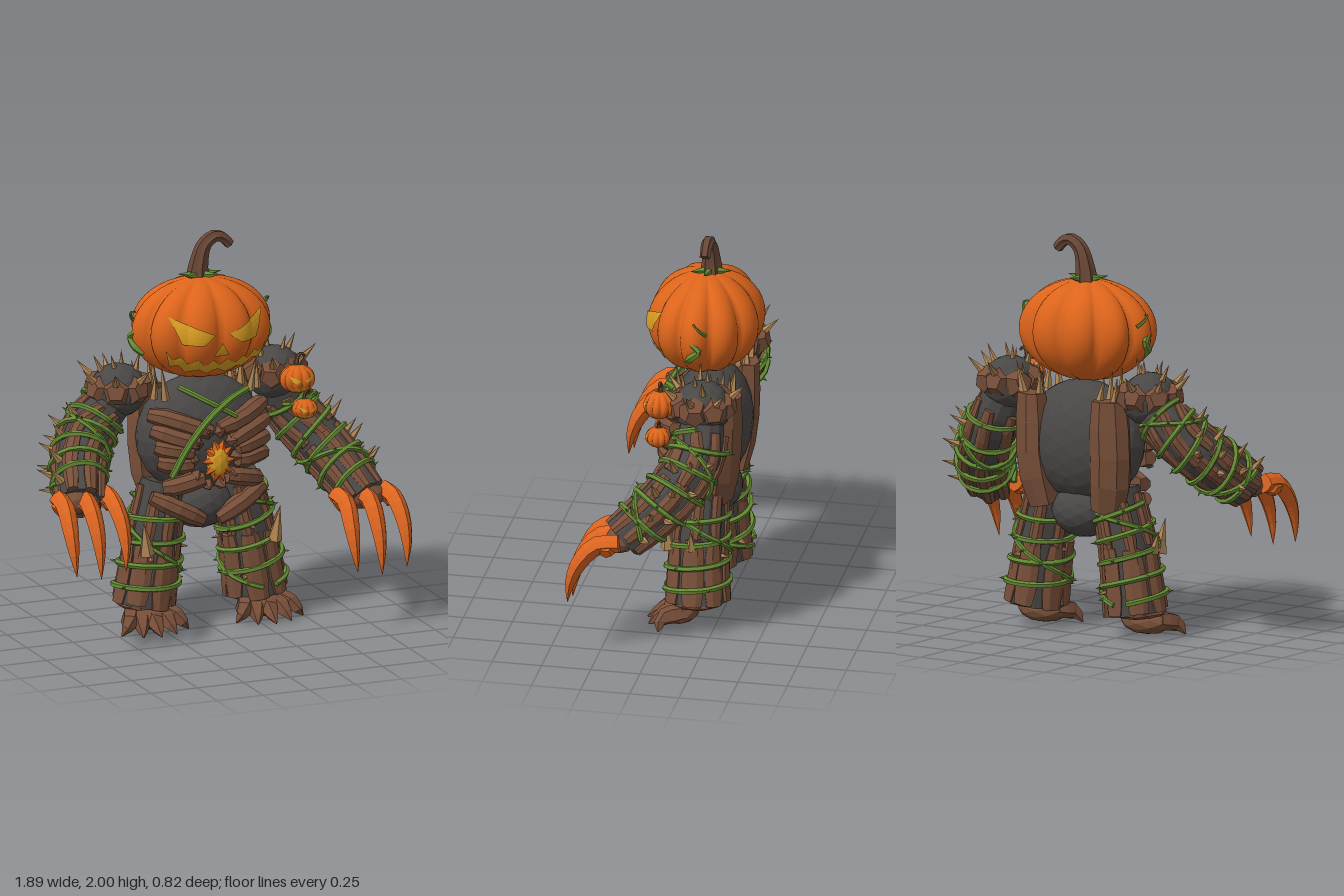
import * as THREE from 'three';

const V = (x, y, z) => new THREE.Vector3(x, y, z);
const mat = (name, color, flatShading = true) => {
  const m = new THREE.MeshStandardMaterial({ color, flatShading });
  m.name = name;
  return m;
};

// Closed skin over a list of equal-length rings (each turning right-handed about the travel direction)
function loft(rings) {
  const n = rings[0].length, pos = [], idx = [], last = (rings.length - 1) * n;
  rings.flat().forEach(p => pos.push(p.x, p.y, p.z));
  for (let i = 0; i < rings.length - 1; i++) for (let j = 0; j < n; j++) {
    const k = (j + 1) % n, a = i * n + j, b = i * n + k, c = b + n, d = a + n;
    idx.push(a, b, c, a, c, d);
  }
  for (let j = 1; j < n - 1; j++) idx.push(0, j + 1, j, last, last + j, last + j + 1);
  const g = new THREE.BufferGeometry();
  g.setAttribute('position', new THREE.Float32BufferAttribute(pos, 3));
  g.setIndex(idx);
  g.computeVertexNormals();
  return g;
}

// Tapered tube through points; radius is a function of 0..1
function sweep(points, radius, sides = 6, steps = 8, ridge = 0) {
  const curve = new THREE.CatmullRomCurve3(points), f = curve.computeFrenetFrames(steps), rings = [];
  for (let i = 0; i <= steps; i++) {
    const t = i / steps, c = curve.getPointAt(t), ring = [];
    for (let j = 0; j < sides; j++) {
      const a = j / sides * Math.PI * 2, r = radius(t) * (j % 2 ? 1 - ridge : 1);
      ring.push(c.clone().addScaledVector(f.normals[i], Math.cos(a) * r).addScaledVector(f.binormals[i], Math.sin(a) * r));
    }
    rings.push(ring);
  }
  return loft(rings);
}

// Bevelled board along points, its broad face turned to the given normal; half sizes taper at the ends
function board(points, normal, halfWidth, halfDepth, taper = 0.75) {
  const curve = new THREE.CatmullRomCurve3(points), rings = [];
  for (let i = 0; i <= 4; i++) {
    const c = curve.getPointAt(i / 4), T = curve.getTangentAt(i / 4), k = i % 4 ? 1 : taper;
    const N = normal.clone().addScaledVector(T, -normal.dot(T)).normalize(), B = T.clone().cross(N);
    rings.push([[1, -0.45], [1, 0.45], [0.3, 1], [-1, 0.9], [-1, -0.9], [0.3, -1]].map(([n, b]) =>
      c.clone().addScaledVector(N, n * halfDepth * k).addScaledVector(B, b * halfWidth * k)));
  }
  return loft(rings);
}

// Piecewise-linear lookup in [[x, y], ...]
function lerpAt(pts, x) {
  for (let i = 1; i < pts.length; i++) if (x <= pts[i][0]) {
    const [a, b] = [pts[i - 1], pts[i]];
    return a[1] + (b[1] - a[1]) * (x - a[0]) / (b[0] - a[0]);
  }
  return pts[pts.length - 1][1];
}

// Ten-lobed pumpkin surface, by angle and height; floor limits the depth of the grooves
const PH = 0.257;
function pumpkinPoint(a, y, k = 1, floor = 0) {
  const l = Math.max(floor, 0.85 + 0.15 * Math.abs(Math.sin(5 * a)) ** 0.75) * Math.sqrt(Math.max(0, 1 - (y / PH) ** 2)) * k;
  return V(0.37 * l * Math.sin(a), y, 0.29 * l * Math.cos(a));
}

export function createModel() {
  const root = new THREE.Group();
  let seed = 7;
  const rnd = (a = 0, b = 1) => a + (b - a) * ((seed = (seed * 16807) % 2147483647) / 2147483647);
  const orange = mat('pumpkinOrange', 0xdc641b, false), claw = mat('clawOrange', 0xdb6420), yellow = mat('glowYellow', 0xd99e22);
  const bark = mat('bark', 0x784f39), dark = mat('darkBody', 0x4a4846), green = mat('vineGreen', 0x648b33);
  const tan = mat('thornTan', 0xb08654), stemBrown = mat('stemBrown', 0x694736);
  yellow.side = THREE.DoubleSide;
  const add = (name, geo, m, parent = root) => {
    const mesh = new THREE.Mesh(geo, m);
    mesh.name = name;
    parent.add(mesh);
    return mesh;
  };
  const spike = (name, base, dir, len, r, m, parent = root) => {
    const mesh = add(name, new THREE.ConeGeometry(r, len, 5).translate(0, len * 0.45, 0), m, parent);
    mesh.position.copy(base);
    mesh.quaternion.setFromUnitVectors(V(0, 1, 0), dir.clone().normalize());
  };
  const ball = (name, m, c, s, detail = 3) => {
    const mesh = add(name, new THREE.IcosahedronGeometry(1, detail), m);
    mesh.position.copy(c);
    mesh.scale.copy(s);
  };

  // Carved pumpkin: shell, face plates that follow the lobes, stem
  function pumpkin(name, c, s) {
    const g = new THREE.Group();
    g.name = name;
    g.position.copy(c);
    g.scale.copy(s);
    root.add(g);
    const rings = [];
    for (let i = 0; i <= 20; i++) {
      const ring = [], y = -PH * Math.cos(0.05 + i / 20 * (Math.PI - 0.1));
      for (let j = 0; j < 100; j++) ring.push(pumpkinPoint(j / 100 * Math.PI * 2, y));
      rings.push(ring);
    }
    add('shell', loft(rings), orange, g);
    const plate = (label, top, bottom, mirror) => {
      const x0 = top[0][0], x1 = top[top.length - 1][0];
      const geo = new THREE.PlaneGeometry(1, 1, 64, 4), p = geo.attributes.position;
      for (let i = 0; i < p.count; i++) {
        const x = x0 + (x1 - x0) * (p.getX(i) + 0.5), v = p.getY(i) + 0.5;
        const y = lerpAt(bottom, x) * (1 - v) + lerpAt(top, x) * v;
        let lo = -1.1, hi = 1.1;
        for (let k = 0; k < 24; k++) {
          const mid = (lo + hi) / 2;
          if (pumpkinPoint(mid, y, 1.025, 0.95).x < x) lo = mid; else hi = mid;
        }
        const q = pumpkinPoint(lo, y, 1.025, 0.95);
        p.setXYZ(i, mirror ? -q.x : q.x, q.y, q.z);
      }
      geo.computeVertexNormals();
      add(label, geo, yellow, g);
    };
    for (const m of [false, true])
      plate(m ? 'leftEye' : 'rightEye', [[-0.25, 0.115], [-0.04, 0.025]], [[-0.25, 0.11], [-0.2, -0.02], [-0.1, -0.025], [-0.04, 0.02]], m);
    plate('nose', [[-0.04, -0.085], [0, -0.02], [0.04, -0.085]], [[-0.04, -0.09], [0.04, -0.09]]);
    const both = h => [...h, ...h.slice(0, -1).reverse().map(([x, y]) => [-x, y])];
    plate('mouth',
      both([[-0.27, -0.055], [-0.23, -0.11], [-0.2, -0.085], [-0.16, -0.13], [-0.12, -0.1], [-0.08, -0.14], [-0.04, -0.11], [0, -0.14]]),
      both([[-0.27, -0.06], [-0.24, -0.15], [-0.2, -0.14], [-0.15, -0.19], [-0.1, -0.165], [-0.05, -0.197], [0, -0.17]]));
    add('stem', sweep([V(-0.01, 0.22, -0.025), V(0, 0.32, -0.025), V(0.03, 0.41, -0.025), V(0.09, 0.448, -0.025), V(0.135, 0.43, -0.025), V(0.165, 0.395, -0.025)],
      t => 0.062 - 0.06 * t + 0.025 * t * t, 12, 14, 0.2), stemBrown, g);
    for (const a of [0.1, 0.9, 2.6, 3.2, 4.9])
      spike('stemLeaf', V(0.03 * Math.cos(a), 0.26, 0.03 * Math.sin(a) - 0.02), V(Math.cos(a), 0.12, Math.sin(a)), 0.09, 0.024, green, g);
  }
  pumpkin('head', V(0, 1.53, -0.135), V(1, 1, 1));
  pumpkin('shoulderPumpkin', V(0.46, 1.24, 0.01), V(0.25, 0.28, 0.28));
  pumpkin('armPumpkin', V(0.5, 1.08, 0.01), V(0.18, 0.2, 0.22));

  // Torso and pelvis
  ball('torso', dark, V(0, 0.97, -0.16), V(0.335, 0.31, 0.205));
  ball('pelvis', dark, V(0, 0.62, -0.16), V(0.17, 0.14, 0.16), 2);
  const chest = (x, y, off = 0) => V(x, y, -0.17 + off + 0.23 * Math.sqrt(Math.max(0.1, 1 - (x / 0.42) ** 2 - ((y - 0.89) / 0.42) ** 2)));

  for (const s of [-1, 1]) {
    // Ribs: outer x and height, inner x and height
    for (const [xo, yo, xi, yi] of [[0.31, 1.12, 0.02, 1.03], [0.31, 1.04, 0.09, 0.97], [0.3, 0.96, 0.12, 0.925], [0.29, 0.88, 0.12, 0.87], [0.26, 0.745, 0.06, 0.79]]) {
      const pts = [0, 0.33, 0.67, 1].map(t => chest(s * (xo + (xi - xo) * t), yo + (yi - yo) * t + rnd(-0.006, 0.006)));
      add('rib', board(pts, V(s * 0.4, 0, 1), 0.045, 0.04), bark);
    }
    add('hipPlank', board([V(s * 0.3, 0.69, -0.06), V(s * 0.17, 0.625, -0.01), V(s * 0.04, 0.555, -0.01)], V(0, 0, 1), 0.045, 0.04), bark);
    // Broad back slab topped with thorns
    add('backSlab', board([V(s * 0.2, 0.64, -0.25), V(s * 0.24, 0.85, -0.285), V(s * 0.24, 1.05, -0.295), V(s * 0.24, 1.21, -0.3)], V(s * 0.4, 0, -1), 0.1, 0.055, 0.85), bark);
    for (let i = 0; i < 5; i++)
      spike('collarThorn', V(s * (0.18 + 0.03 * i), 1.19, -0.3 + 0.05 * (i % 3)), V(s * rnd(-0.2, 0.25), 1, rnd(-0.25, 0.1)), rnd(0.14, 0.2), 0.026, tan);
    spike('collarThorn', V(s * 0.23, 1.2, -0.05), V(s * 0.15, 1, 0.1), 0.18, 0.024, tan);
    spike('collarThorn', V(s * 0.28, 1.2, -0.08), V(s * -0.05, 1, 0.1), 0.15, 0.022, tan);
    // Shoulder ball, its belt of boulders and thorns
    ball('shoulder', dark, V(s * 0.42, 1.225, -0.2), V(0.145, 0.138, 0.145), 2);
    for (let i = 0; i < 7; i++) {
      const a = i / 7 * Math.PI * 2 + 0.2, d = V(s * Math.cos(a), 0, Math.sin(a)), c = V(s * 0.42, 1.24, -0.2).addScaledVector(d, 0.1);
      const rock = add('shoulderBoulder', new THREE.DodecahedronGeometry(0.08, 0), bark);
      rock.position.copy(c);
      rock.rotation.set(0, a, 0.3);
      if (d.x * s > -0.5) spike('shoulderThorn', c.clone().addScaledVector(d, 0.05).add(V(0, 0.055, 0)), d.clone().add(V(0, 1, 0)), 0.1, 0.02, tan);
    }
    for (let i = 0; i < 4; i++)
      spike('shoulderThorn', V(s * (0.34 + 0.055 * i), 1.33, -0.17 - 0.05 * (i % 2)), V(s * (i - 1) * 0.25, 1, 0), 0.1, 0.018, tan);
    // Curling tendrils on the sides of the head
    add('headTendril', sweep([V(s * 0.32, 1.43, -0.11), V(s * 0.36, 1.46, -0.13), V(s * 0.37, 1.5, -0.17), V(s * 0.36, 1.53, -0.13)], t => 0.024 - 0.012 * t, 5, 10), green);
    add('headTendril', sweep([V(s * 0.34, 1.58, -0.2), V(s * 0.365, 1.61, -0.17), V(s * 0.37, 1.635, -0.15), V(s * 0.35, 1.635, -0.14)], t => 0.01 - 0.005 * t, 5, 8), green);
  }

  // Limb: dark core, bark planks in two tiers, vines coiling around it
  function limb(name, s, pts, rad, tiers, turns) {
    const g = new THREE.Group(), curve = new THREE.CatmullRomCurve3(pts);
    g.name = name;
    root.add(g);
    const dirs = (t, a) => {
      const T = curve.getTangentAt(t), U = V(s, 0, 0).addScaledVector(T, -s * T.x).normalize(), W = T.clone().cross(U);
      return U.multiplyScalar(Math.cos(a)).addScaledVector(W, Math.sin(a));
    };
    const at = (t, a, off) => curve.getPointAt(t).addScaledVector(dirs(t, a), rad(t) + off);
    add('core', sweep(pts, t => rad(t) * 0.94, 12, 10), dark, g);
    for (const [t0, t1, count, width] of tiers) for (let i = 0; i < count; i++) {
      const a = (i + rnd(-0.1, 0.1)) / count * Math.PI * 2, h = rnd(0.006, 0.016), rings = [];
      const b = t0 + rnd(0, 0.05), e = Math.min(1, t1 + rnd(-0.03, 0.03)), w = width * Math.PI / count;
      for (let k = 0; k <= 4; k++) {
        const t = b + (e - b) * k / 4, q = w * (k % 4 ? 1 : 0.8);
        rings.push([at(t, a - q, h - 0.012), at(t, a - q * 0.4, h), at(t, a + q * 0.4, h), at(t, a + q, h - 0.012), at(t, a + q, -0.04), at(t, a - q, -0.04)]);
      }
      add('barkPlank', loft(rings), bark, g);
    }
    for (const [n, phase, r] of [[turns, 0, 0.015], [-turns * 0.25, 2, 0.013]]) {
      const path = [];
      for (let i = 0; i <= 60; i++) {
        const t = 0.14 + 0.76 * i / 60, a = phase + n * Math.PI * 2 * i / 60;
        path.push(at(t, a, 0.014));
        if (i % 6 === 2) spike('vineThorn', at(t, a, 0.022), dirs(t, a), 0.03, 0.009, green, g);
      }
      add('vine', sweep(path, () => r, 5, 110), green, g);
    }
    return { g, at, dirs };
  }

  for (const s of [-1, 1]) {
    // Arms: the left one hangs lower
    const left = s > 0, wy = left ? 0.635 : 0.78;
    const pts = left ? [V(0.42, 1.22, -0.2), V(0.52, 1.02, -0.2), V(0.66, 0.83, -0.08), V(0.77, 0.63, 0.14)]
      : [V(-0.42, 1.22, -0.2), V(-0.56, 1.07, -0.19), V(-0.68, 0.93, -0.08), V(-0.77, 0.77, 0.14)];
    const arm = limb(left ? 'leftArm' : 'rightArm', s, pts, t => 0.113 + 0.02 * Math.sin(t * Math.PI), [[0.12, 0.52, 7, 0.62], [0.5, 1, 7, 0.72]], 5.5);
    for (let i = 0; i < 10; i++) {
      const t = 0.35 + 0.06 * i, a = [-0.5, 0.1, 0.6][i % 3];
      spike('armThorn', arm.at(t, a, 0), arm.dirs(t, a).add(V(0, 0.35, 0)), 0.1, 0.022, tan, arm.g);
    }
    ball('wrist', bark, V(s * 0.77, wy, 0.14), V(0.11, 0.07, 0.08), 1);
    // Claws
    for (const dx of [-0.13, 0, 0.13]) {
      const x = s * 0.76 + dx;
      add('claw', sweep([V(x * 0.99, wy + 0.015, 0.13), V(x, wy, 0.24), V(x + dx * 0.08, wy - 0.09, 0.325), V(x + dx * 0.08, wy - 0.21, 0.375), V(x + dx * 0.02, wy - 0.345 + Math.abs(dx) * 0.2, 0.39)],
        t => 0.049 * (1 - t ** 2.6) + 0.001, 8, 9, 0.14), claw);
      const knuckle = add('knuckle', new THREE.DodecahedronGeometry(0.053, 0), claw);
      knuckle.position.set(x, wy - 0.005, 0.19);
    }

    // Legs
    const leg = limb(left ? 'leftLeg' : 'rightLeg', s, [V(s * 0.19, 0.74, -0.16), V(s * 0.245, 0.5, -0.15), V(s * 0.305, 0.12, -0.15)],
      t => 0.122 + 0.033 * t, [[0.04, 0.48, 7, 0.55], [0.44, 1, 7, 0.88]], 4.2);
    ball('ankle', bark, V(s * 0.305, 0.13, -0.15), V(0.145, 0.035, 0.145), 1);
    spike('kneeThorn', V(s * 0.345, 0.42, -0.01), V(s * 0.15, 1, 0.1), 0.18, 0.04, tan, leg.g);
    spike('kneeThorn', V(s * 0.4, 0.44, -0.14), V(s * 0.3, 1, 0), 0.12, 0.028, tan, leg.g);
    for (let i = 0; i < 6; i++) spike('legThorn', leg.at(0.3 + 0.1 * i, i * 1.7, 0), leg.dirs(0.3 + 0.1 * i, i * 1.7), 0.05, 0.014, tan, leg.g);
    // Foot with splayed pointed toes
    ball('foot', bark, V(s * 0.31, 0.07, -0.07), V(0.14, 0.065, 0.095), 1);
    for (let i = -2; i <= 2; i++) {
      const x = s * 0.31 + i * 0.045, x1 = s * 0.31 + i * 0.09;
      add('toe', sweep([V(x, 0.085, -0.09), V((x + x1) / 2, 0.065, 0), V(x1, 0.01, 0.1 - 0.022 * i * i)], t => 0.045 + 0.04 * t - 0.081 * t * t, 5, 4), bark);
    }
  }

  // Glowing heart with flame shards and splintered bark around it
  ball('heart', yellow, V(-0.005, 0.885, 0.09), V(0.062, 0.09, 0.045), 1);
  for (let i = 0; i < 10; i++) {
    const a = i / 10 * Math.PI * 2, d = V(Math.cos(a), Math.sin(a), 0.1);
    spike('flameShard', V(-0.005 + 0.045 * d.x, 0.89 + 0.07 * d.y, 0.1), d, 0.05, 0.026, claw);
    spike('barkSplinter', V(-0.005 + 0.115 * d.x, 0.89 + 0.14 * d.y, 0.045), V(d.x * 0.3, d.y * 0.3, 0.9), 0.055, 0.035, bark);
  }

  // Vines slung across the chest
  add('chestVine', sweep([[-0.24, 0.82], [-0.17, 0.96], [-0.06, 1.09], [0.08, 1.18], [0.2, 1.21]].map(([x, y]) => chest(x, y, 0.05)), () => 0.018, 6, 20), green);
  add('chestVine', sweep([[-0.16, 1.25], [-0.03, 1.18], [0.11, 1.1]].map(([x, y]) => chest(x, y, 0.045)), () => 0.015, 6, 12), green);
  return root;
}
